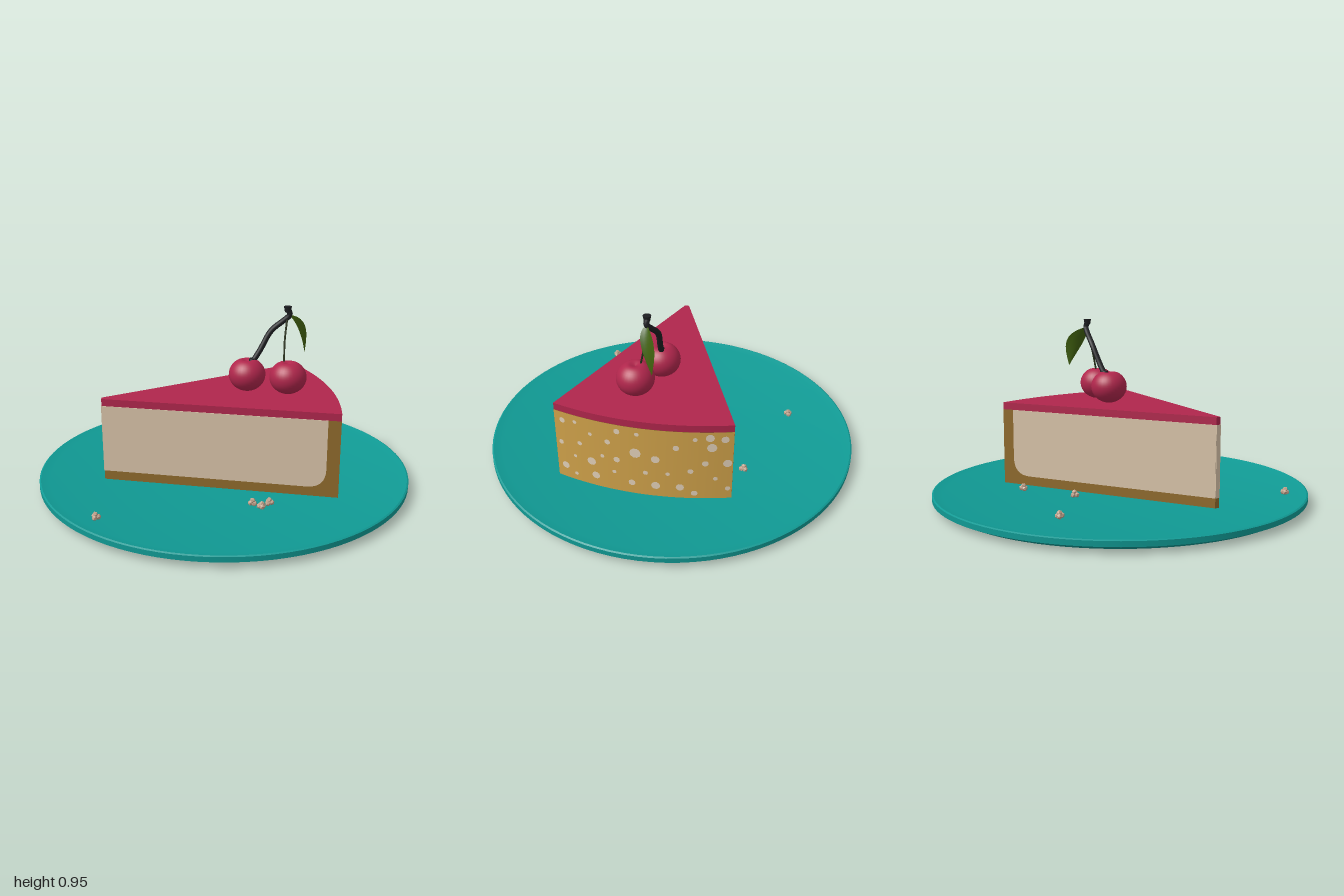
import * as THREE from 'three';
import { mergeGeometries, toCreasedNormals } from 'three/addons/utils/BufferGeometryUtils.js';

const material = (name, color, side = THREE.FrontSide) =>
  Object.assign(new THREE.MeshStandardMaterial({ color, side }), { name });
const V2 = (x, y) => new THREE.Vector2(x, y);
const V3 = (x, y, z) => new THREE.Vector3(x, y, z);

export function createModel() {
  const teal = material('teal glaze', 0x109a94);
  const berry = material('berry red', 0xb0264c);
  const cream = material('cream filling', 0xd8c3a8);
  const crustDark = material('dark crust', 0x8f6a2c);
  const crustGold = material('golden crust', 0xd0a24a);
  const speck = material('crust speck', 0xe2d0b8);
  const stemDark = material('stem', 0x1e1f22);
  const stemGreen = material('thin stem', 0x28321a);
  const leafGreen = material('leaf green', 0x40600f, THREE.DoubleSide);
  const crumbTan = material('crumb', 0xc0a28c);
  crumbTan.flatShading = true;

  const model = new THREE.Group();
  model.name = 'cakeOnPlate';
  const add = (name, geometry, mat, parent = model) => {
    const mesh = new THREE.Mesh(geometry, mat);
    mesh.name = name;
    parent.add(mesh);
    return mesh;
  };

  // Plate: shallow dish with a raised rim
  const floorY = 0.05;
  const plateProfile = [[0, 0], [0.91, 0], [0.95, 0.008], [1, 0.032], [1, 0.058], [0.992, 0.062],
    [0.945, floorY], [0, floorY]].map(p => V2(...p));
  add('plate', toCreasedNormals(new THREE.LatheGeometry(plateProfile, 96), 0.5), teal);

  // Slice outline in plan, with x and z
  const slice = new THREE.Group();
  slice.name = 'cakeSlice';
  model.add(slice);
  const tipBack = V2(-0.64, 0.128), tipFront = V2(-0.64, 0.152);
  const cornerBack = V2(0.433, -0.482), cornerFront = V2(0.567, 0.417);
  const rim = new THREE.QuadraticBezierCurve(cornerBack, V2(0.633, -0.052), cornerFront);
  const outline = [tipBack, tipFront, cornerFront, ...rim.getPoints(24).reverse().slice(1)];
  const wedge = (bottom, top) => {
    const shape = new THREE.Shape(outline.map(p => V2(p.x, -p.y)));
    const g = new THREE.ExtrudeGeometry(shape, { depth: top - bottom, bevelEnabled: false });
    return toCreasedNormals(g.rotateX(-Math.PI / 2).translate(0, bottom, 0), 0.4);
  };
  const glazeY = 0.462;
  add('crustBody', wedge(floorY, glazeY), crustDark, slice);
  add('glazeTop', wedge(glazeY, 0.5), berry, slice);

  // Golden curved outer crust
  const outer = new THREE.PlaneGeometry(1, glazeY - floorY, 24, 1);
  const pos = outer.attributes.position;
  for (let i = 0; i < pos.count; i++) {
    const p = rim.getPoint(0.5 - pos.getX(i));
    pos.setXYZ(i, p.x + 0.002, pos.getY(i) + (glazeY + floorY) / 2, p.y);
  }
  outer.computeVertexNormals();
  add('outerCrust', outer, crustGold, slice);

  // Specks on the outer crust: z, y, radius
  const specks = [
    [0.37, 0.415, 0.016], [0.3, 0.425, 0.011], [0.08, 0.425, 0.016], [-0.02, 0.425, 0.012], [-0.37, 0.43, 0.022],
    [-0.44, 0.42, 0.02], [0.13, 0.35, 0.015], [0.28, 0.3, 0.013], [0.385, 0.275, 0.014], [0.22, 0.205, 0.024],
    [0.16, 0.255, 0.011], [0.085, 0.25, 0.017], [-0.01, 0.31, 0.029], [-0.11, 0.285, 0.022], [-0.21, 0.365, 0.016],
    [-0.38, 0.372, 0.025], [-0.35, 0.275, 0.017], [-0.455, 0.275, 0.023], [-0.28, 0.225, 0.015], [-0.23, 0.12, 0.021],
    [-0.11, 0.12, 0.023], [0.01, 0.12, 0.018], [0.2, 0.12, 0.022], [0.37, 0.13, 0.021], [0.31, 0.095, 0.011],
    [-0.3, 0.085, 0.017], [-0.46, 0.115, 0.014], [-0.4, 0.18, 0.012], [0.1, 0.17, 0.011], [-0.06, 0.195, 0.013],
    [-0.17, 0.2, 0.011], [0.31, 0.21, 0.01], [-0.3, 0.42, 0.012], [0.22, 0.375, 0.011]];
  add('crustSpecks', mergeGeometries(specks.map(([z, y, r]) => {
    const t = (z - cornerBack.y) / (cornerFront.y - cornerBack.y);
    const p = rim.getPoint(t), d = rim.getTangent(t);
    return new THREE.CircleGeometry(r, 10).rotateY(Math.atan2(d.y, -d.x))
      .translate(p.x + d.y * 0.005, y, p.y - d.x * 0.005);
  })), speck, slice);

  // Cream on both cut walls, rounded where crust turns upward
  const base = 0.1, bend = 0.1;
  for (const [name, tip, corner] of [['creamFront', tipFront, cornerFront], ['creamBack', tipBack, cornerBack]]) {
    const run = corner.clone().sub(tip), end = run.length() - 0.065;
    const shape = new THREE.Shape();
    shape.moveTo(0, base).lineTo(end - bend, base);
    shape.quadraticCurveTo(end, base, end, base + bend);
    shape.lineTo(end, glazeY).lineTo(0, glazeY);
    const g = new THREE.ExtrudeGeometry(shape, { depth: 0.006, bevelEnabled: false }).translate(0, 0, -0.003);
    const wall = add(name, g, cream, slice);
    wall.position.set(tip.x, 0, tip.y);
    wall.rotation.y = -Math.atan2(run.y, run.x);
  }
  add('creamTip', new THREE.BoxGeometry(0.006, glazeY - base, 0.024), cream, slice)
    .position.set(-0.64, (glazeY + base) / 2, 0.14);

  // Cherries with a dimple at the stem
  const cherries = new THREE.Group();
  cherries.name = 'cherries';
  model.add(cherries);
  const cherryProfile = Array.from({ length: 25 }, (_, i) => {
    const a = Math.PI * (1 - i / 24), r = 0.098 * Math.sin(a);
    return V2(Math.max(r, 0), 0.089 * Math.cos(a) - (a < 1 ? 0.02 * Math.exp(-((r / 0.025) ** 2)) : 0));
  });
  for (const [name, x, z] of [['leftCherry', 0.335, 0.07], ['rightCherry', 0.123, 0.01]])
    add(name, new THREE.LatheGeometry(cherryProfile, 32), berry, cherries).position.set(x, 0.586, z);

  // Stems
  const tube = (points, r) =>
    new THREE.TubeGeometry(new THREE.CatmullRomCurve3(points.map(p => V3(...p))), 24, r, 10);
  add('thickStem', tube([[0.145, 0.64, 0.002], [0.19, 0.71, -0.008], [0.25, 0.815, -0.02], [0.32, 0.878, -0.008],
    [0.345, 0.905, 0], [0.333, 0.94, 0.002]], 0.015), stemDark, cherries);
  add('stemCap', new THREE.CylinderGeometry(0.021, 0.015, 0.03, 12), stemDark, cherries).position.set(0.333, 0.935, 0.002);
  add('stemFoot', new THREE.CylinderGeometry(0.015, 0.024, 0.03, 12), stemDark, cherries).position.set(0.15, 0.656, 0.002);
  add('thinStem', tube([[0.315, 0.65, 0.05], [0.318, 0.77, 0.025], [0.333, 0.9, 0]], 0.005), stemGreen, cherries);

  // Drooping leaf: ribs across a curve, folded at the middle
  const spine = new THREE.QuadraticBezierCurve3(V3(0.34, 0.905, 0), V3(0.42, 0.84, -0.03), V3(0.435, 0.685, -0.06));
  const leaf = new THREE.PlaneGeometry(2, 1, 4, 14);
  const lp = leaf.attributes.position;
  for (let i = 0; i < lp.count; i++) {
    const t = 0.5 - lp.getY(i), s = lp.getX(i);
    const p = spine.getPoint(t), w = 0.05 * Math.sin(Math.PI * t ** 0.9) * s;
    const fold = 0.2 * Math.abs(w);
    lp.setXYZ(i, p.x + 0.45 * w + fold, p.y + fold, p.z - 0.89 * w);
  }
  leaf.computeVertexNormals();
  add('leaf', leaf, leafGreen, cherries);

  // Crumbs: small clusters of chips
  const crumbs = [[-0.365, -0.585], [-0.065, -0.325], [0.208, -0.48], [-0.63, 0.615],
    [0.128, 0.485], [0.17, 0.525], [0.212, 0.485]];
  crumbs.forEach(([x, z], i) => {
    const chips = [[-0.009, 0.012, -0.007], [0.01, 0.011, -0.005], [0, 0.014, 0.011], [0.002, 0.025, 0]].map(
      (o, k) => new THREE.IcosahedronGeometry(0.015, 0).rotateX(k + i).rotateY(2 * k).translate(...o));
    const crumb = add('crumb', mergeGeometries(chips), crumbTan);
    crumb.position.set(x, floorY, z);
    crumb.rotation.y = i * 1.3;
  });

  return model;
}
